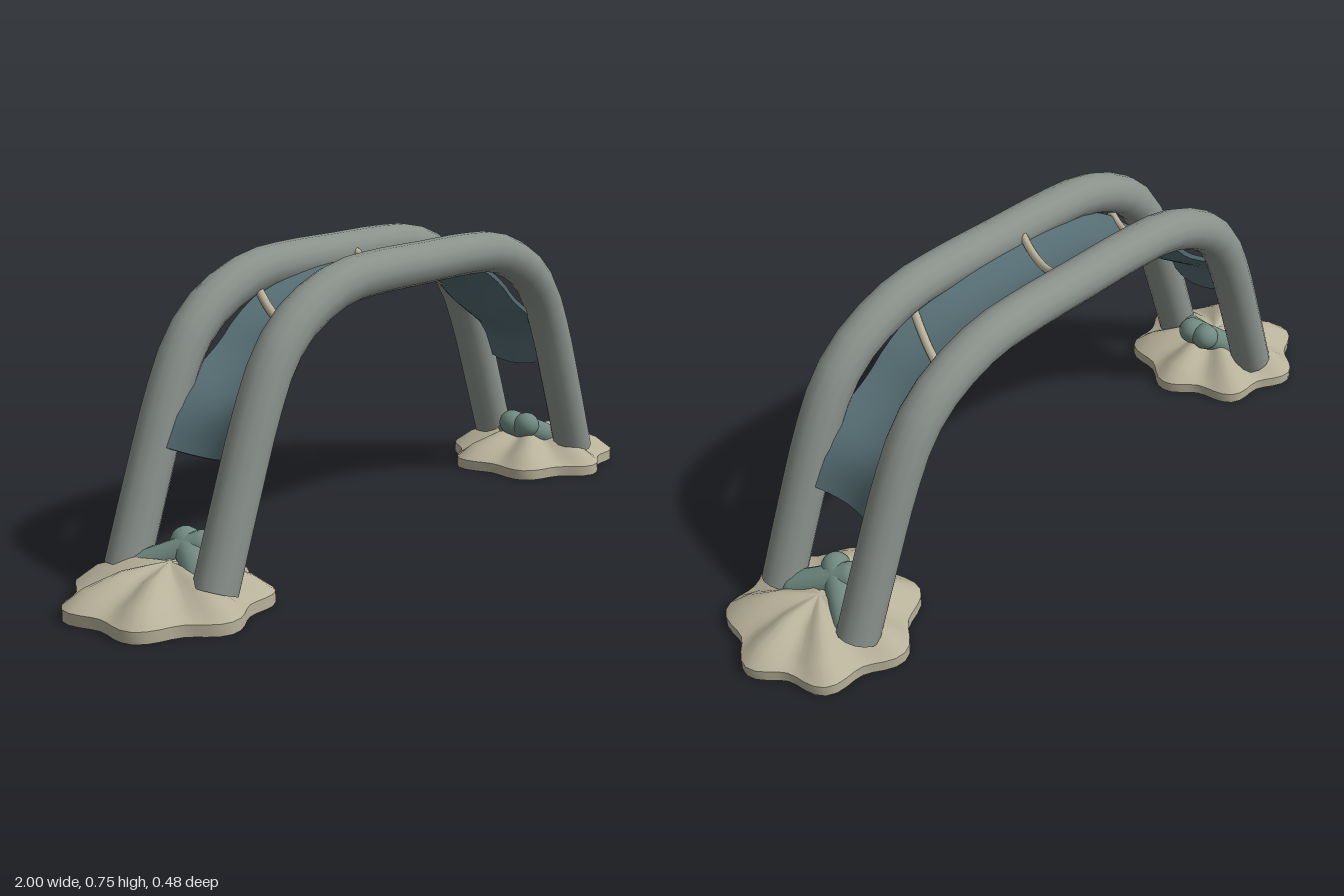
import * as THREE from 'three';
import { toCreasedNormals } from 'three/addons/utils/BufferGeometryUtils.js';

const mat = (color) => new THREE.MeshStandardMaterial({ color });
const railMat = mat(0x8a918b);
const stoneMat = mat(0xb8b19a);
const deckMat = mat(0x546c72);
const knotMat = mat(0x718a82);

const RAIL_Z = 0.138, RAIL_R = 0.054, BASE_X = 0.767;

function add(parent, name, geometry, material) {
  const mesh = new THREE.Mesh(geometry, material);
  mesh.name = name;
  parent.add(mesh);
  return mesh;
}

// Mirrors the left half of an arch profile and runs a smooth curve through it
function archCurve(half, z = 0) {
  const right = half.filter(([x]) => x !== 0).map(([x, y]) => [-x, y]).reverse();
  return new THREE.CatmullRomCurve3(
    [...half, ...right].map(([x, y]) => new THREE.Vector3(x, y, z)), false, 'centripetal');
}

const railHalf = [[-0.768, 0.058], [-0.695, 0.25], [-0.62, 0.435], [-0.56, 0.545],
  [-0.495, 0.61], [-0.41, 0.657], [-0.315, 0.686], [-0.185, 0.695], [0, 0.695]];
const deckHalf = [[-0.655, 0.315], [-0.605, 0.405], [-0.53, 0.455], [-0.45, 0.505],
  [-0.385, 0.56], [-0.26, 0.625], [-0.14, 0.65], [0, 0.656]];

// Arched rail with closed ends
function addRail(group, z) {
  const rail = new THREE.Group();
  rail.name = 'rail';
  const curve = archCurve(railHalf, z);
  add(rail, 'railTube', new THREE.TubeGeometry(curve, 32, RAIL_R, 14), railMat);
  for (const t of [0, 1]) {
    const cap = add(rail, 'railEnd', new THREE.CircleGeometry(RAIL_R, 14), railMat);
    const end = curve.getPointAt(t);
    const out = curve.getTangentAt(t).multiplyScalar(t ? 1 : -1);
    cap.position.copy(end);
    cap.quaternion.setFromUnitVectors(new THREE.Vector3(0, 0, 1), out);
  }
  group.add(rail);
}

// Thin sagging deck: a flat slab bent along the arch
function deckGeometry() {
  const curve = archCurve(deckHalf);
  const geo = new THREE.BoxGeometry(1, 0.012, 0.22, 40, 1, 8);
  const pos = geo.attributes.position;
  for (let i = 0; i < pos.count; i++) {
    const t = THREE.MathUtils.clamp(pos.getX(i) + 0.5, 0, 1);
    const z = pos.getZ(i);
    const p = curve.getPointAt(t), d = curve.getTangentAt(t);
    const lift = pos.getY(i) + 0.03 * (z / 0.1) ** 2;
    pos.setXYZ(i, p.x - d.y * lift, p.y + d.x * lift, z);
  }
  geo.computeVertexNormals();
  return geo;
}

// Seven-lobed foot with ridges running up to a low peak
function footGeometry() {
  const profile = [[0, 0], [1, 0], [1, 0.028], [0.8, 0.055], [0.45, 0.085], [0.2, 0.094], [0, 0.1]]
    .map(([r, y]) => new THREE.Vector2(r, y));
  const geo = new THREE.LatheGeometry(profile, 56);
  const pos = geo.attributes.position;
  for (let i = 0; i < pos.count; i++) {
    const x = pos.getX(i), y = pos.getY(i), z = pos.getZ(i);
    const a = Math.atan2(z, x), r = Math.hypot(x, z);
    const lobe = Math.cos(7 * a);
    const size = 0.224 + 0.018 * lobe - 0.01 * Math.cos(a);
    const ridge = y > 0.03 ? 0.009 * lobe * Math.min(1, r * 2) : 0;
    pos.setXYZ(i, x * size, y + ridge, z * size);
  }
  return toCreasedNormals(geo, 0.6);
}

// Capsule laid between two points
function addCapsule(parent, name, a, b, radius, material) {
  const dir = b.clone().sub(a);
  const mesh = add(parent, name, new THREE.CapsuleGeometry(radius, dir.length(), 6, 14), material);
  mesh.position.copy(a).add(b).multiplyScalar(0.5);
  mesh.quaternion.setFromUnitVectors(new THREE.Vector3(0, 1, 0), dir.normalize());
}

export function createModel() {
  const group = new THREE.Group();
  group.name = 'archBridge';

  for (const s of [-1, 1]) addRail(group, s * RAIL_Z);
  add(group, 'deck', deckGeometry(), deckMat);

  // Slanted, sagging cross struts between the rails
  for (const [x, y, slope] of [[-0.375, 0.583, 0.7], [-0.008, 0.677, 0], [0.362, 0.583, -0.7]]) {
    const pts = [-0.13, -0.085, -0.04, 0, 0.04, 0.085, 0.13].map((z) => {
      const dx = -0.4 * z;
      return new THREE.Vector3(x + dx, y + slope * dx + 0.02 * (z / 0.085) ** 2, z);
    });
    add(group, 'strut', new THREE.TubeGeometry(new THREE.CatmullRomCurve3(pts), 14, 0.011, 8), stoneMat);
  }

  // Feet, each with a pair of crossed knots on the inner side
  const foot = footGeometry();
  for (const s of [-1, 1]) {
    add(group, 'foot', foot, stoneMat).position.x = s * BASE_X;
    for (const k of [-1, 1]) {
      addCapsule(group, 'knot',
        new THREE.Vector3(s * 0.765, 0.065, -k * 0.095),
        new THREE.Vector3(s * 0.69, 0.12, k * 0.025), 0.037, knotMat);
    }
  }
  return group;
}
